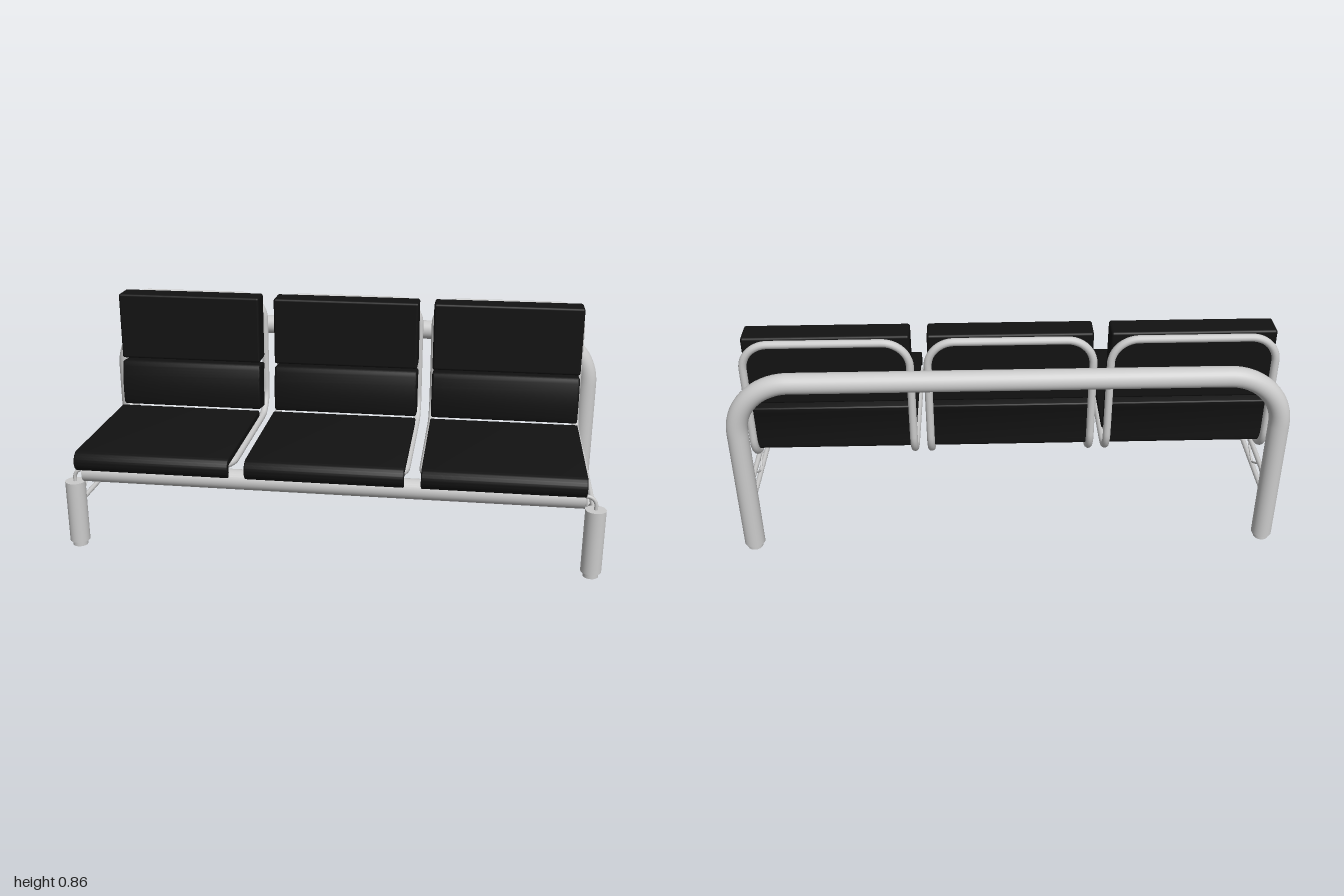
import * as THREE from 'three';
import { toCreasedNormals } from 'three/addons/utils/BufferGeometryUtils.js';
import { RoundedBoxGeometry } from 'three/addons/geometries/RoundedBoxGeometry.js';

const metal = new THREE.MeshStandardMaterial({ color: 0xcccccc });
const black = new THREE.MeshStandardMaterial({ color: 0x121212 });
const V = (x, y, z) => new THREE.Vector3(x, y, z);

function add(parent, name, geometry, material = metal) {
  const mesh = new THREE.Mesh(geometry, material);
  mesh.name = name;
  parent.add(mesh);
  return mesh;
}

// Polyline whose right-angle corners are replaced by arcs of radius r
function bentPath(points, r, closed = false) {
  const path = new THREE.CurvePath();
  const n = points.length;
  const toward = (p, q, d) => p.clone().add(q.clone().sub(p).setLength(d));
  let last = closed ? toward(points[0], points[n - 1], r) : points[0];
  for (let i = closed ? 0 : 1; i < (closed ? n : n - 1); i++) {
    const p = points[i];
    const before = points[(i + n - 1) % n], after = points[(i + 1) % n];
    const a = toward(p, before, r), b = toward(p, after, r);
    if (last.distanceTo(a) > 1e-5) path.add(new THREE.LineCurve3(last, a));
    path.add(new THREE.CubicBezierCurve3(a, a.clone().lerp(p, 0.5523), b.clone().lerp(p, 0.5523), b));
    last = b;
  }
  const end = closed ? toward(points[0], points[n - 1], r) : points[n - 1];
  path.add(new THREE.LineCurve3(last, end));
  return path;
}

// Straight round bar between two points
function bar(parent, name, a, b, r, sides = 12) {
  const mesh = add(parent, name, new THREE.CylinderGeometry(r, r, a.distanceTo(b), sides));
  mesh.position.copy(a).lerp(b, 0.5);
  mesh.quaternion.setFromUnitVectors(V(0, 1, 0), b.clone().sub(a).normalize());
  return mesh;
}

// Side profile (z, y) extruded across the seat width
function cushion(shape, width, bevel) {
  const g = new THREE.ExtrudeGeometry(shape, {
    depth: width - 2 * bevel, curveSegments: 14, bevelSize: bevel,
    bevelThickness: bevel, bevelOffset: -bevel, bevelSegments: 3,
  });
  g.translate(0, 0, -(width - 2 * bevel) / 2);
  g.rotateY(-Math.PI / 2);
  return toCreasedNormals(g, 0.6);
}

function createSeat() {
  const seat = new THREE.Group();
  const w = 0.577, h = 0.288;

  // Closed tube loop carrying the seat and the back
  const loop = bentPath([
    V(h, 0.364, 0.361), V(h, 0.364, -0.316), V(h, 0.849, -0.316),
    V(-h, 0.849, -0.316), V(-h, 0.364, -0.316), V(-h, 0.364, 0.361),
  ], 0.095, true);
  add(seat, 'seatFrame', new THREE.TubeGeometry(loop, 240, 0.014, 12, true));

  // Seat pad, wrapped around the front of the tube
  const pad = new THREE.Shape();
  pad.moveTo(-0.16, 0.379);
  pad.lineTo(0.362, 0.379);
  pad.absarc(0.362, 0.366, 0.013, Math.PI / 2, -1.0, true);
  pad.lineTo(0.362 + 0.038 * Math.cos(-1.0), 0.366 + 0.038 * Math.sin(-1.0));
  pad.absarc(0.362, 0.367, 0.039, -0.9, Math.PI / 2, false);
  pad.lineTo(-0.16, 0.406);
  pad.quadraticCurveTo(-0.168, 0.406, -0.168, 0.398);
  pad.lineTo(-0.168, 0.387);
  pad.quadraticCurveTo(-0.168, 0.379, -0.16, 0.379);
  add(seat, 'seatCushion', cushion(pad, w, 0.004), black);

  // Curved lumbar cushion
  const lumbar = new THREE.Shape();
  lumbar.moveTo(-0.27, 0.391);
  lumbar.lineTo(-0.2, 0.4);
  lumbar.quadraticCurveTo(-0.189, 0.402, -0.187, 0.413);
  lumbar.quadraticCurveTo(-0.176, 0.492, -0.2, 0.576);
  lumbar.quadraticCurveTo(-0.203, 0.586, -0.213, 0.585);
  lumbar.lineTo(-0.286, 0.576);
  lumbar.quadraticCurveTo(-0.296, 0.574, -0.293, 0.563);
  lumbar.quadraticCurveTo(-0.271, 0.485, -0.281, 0.402);
  lumbar.quadraticCurveTo(-0.281, 0.39, -0.27, 0.391);
  add(seat, 'lumbarCushion', cushion(lumbar, w, 0.008), black);

  // Upright back cushion
  add(seat, 'backCushion', new RoundedBoxGeometry(w, 0.267, 0.096, 3, 0.009), black)
    .position.set(0, 0.73, -0.249);
  return seat;
}

function createSide(s) {
  const side = new THREE.Group();
  const x = s * 0.963, front = 0.317, back = -0.36;

  // Front leg and feet
  bar(side, 'frontLeg', V(x, 0.02, front), V(x, 0.262, front), 0.0375, 28);
  bar(side, 'frontFoot', V(x, 0, front), V(x, 0.03, front), 0.028, 24);
  bar(side, 'rearLegCap', V(x, 0.02, back), V(x, 0.05, back), 0.0375, 28);
  bar(side, 'rearFoot', V(x, 0, back), V(x, 0.03, back), 0.028, 24);

  // Bent pin joining the leg to the front beam
  const pin = bentPath([V(x, 0.255, front), V(x, 0.311, front), V(s * 0.91, 0.311, front)], 0.035);
  add(side, 'beamPin', new THREE.TubeGeometry(pin, 20, 0.007, 10));

  // Lattice between the legs
  for (const y of [0.164, 0.235]) {
    bar(side, 'sideRail', V(x, y, 0.3), V(x, y, -0.34), 0.0095);
  }
  for (let i = 0; i < 6; i++) {
    const z = 0.28 - i * 0.0993;
    const [y0, y1] = i % 2 ? [0.231, 0.169] : [0.169, 0.231];
    bar(side, 'latticeBar', V(x, y0, z), V(x, y1, z - 0.0993), 0.004, 8);
  }
  return side;
}

export function createModel() {
  const model = new THREE.Group();
  model.name = 'threeSeatBench';

  // Rear hoop: both back legs and the top rail in one tube
  const hoop = bentPath([
    V(-0.963, 0.02, -0.36), V(-0.963, 0.7195, -0.36), V(0.963, 0.7195, -0.36), V(0.963, 0.02, -0.36),
  ], 0.2);
  add(model, 'rearHoop', new THREE.TubeGeometry(hoop, 160, 0.0375, 28));

  // Front beam under the seats
  bar(model, 'frontBeam', V(-0.922, 0.304, 0.317), V(0.922, 0.304, 0.317), 0.0375, 28);

  for (const s of [-1, 1]) {
    const side = createSide(s);
    side.name = s > 0 ? 'leftSide' : 'rightSide';
    model.add(side);
  }

  ['rightSeat', 'middleSeat', 'leftSeat'].forEach((name, i) => {
    const seat = createSeat();
    seat.name = name;
    seat.position.x = -0.004 + (i - 1) * 0.637;
    model.add(seat);
  });
  return model;
}
